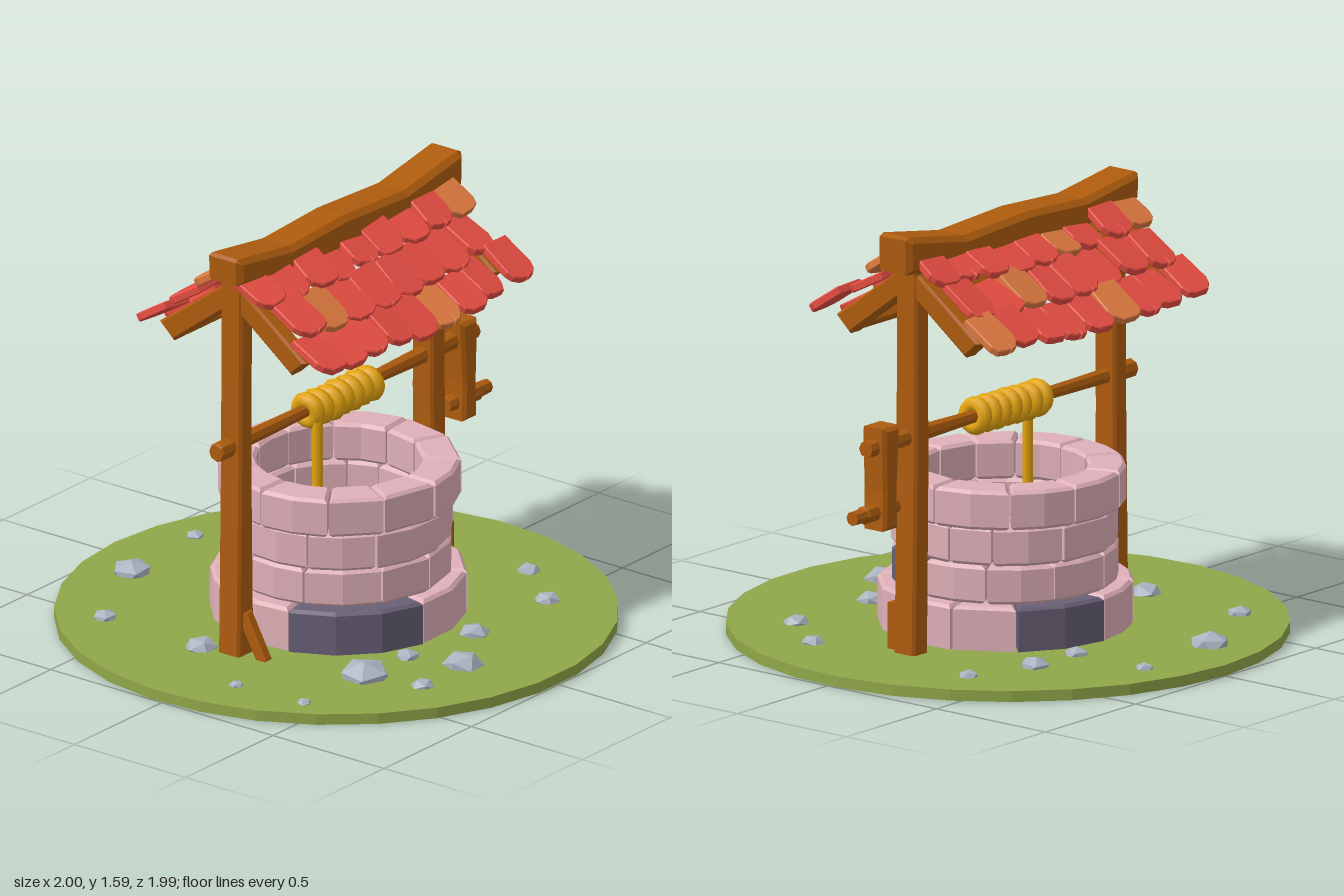
import * as THREE from 'three';

const mat = (name, color) => Object.assign(new THREE.MeshStandardMaterial({ color }), { name });
const GRASS = mat('grass', 0x90a749), WOOD = mat('wood', 0xae5c0e), ROPE = mat('rope', 0xe5a50f),
  STONE = mat('pink stone', 0xdfb0b8), DARK = mat('dark stone', 0x686076),
  PEBBLE = mat('grey rock', 0xabb3c1), RED = mat('red tile', 0xe84e43), ORANGE = mat('orange tile', 0xde7940);

const RAD = Math.PI / 180;
const AXIS_Z = -0.03; // plane of the posts, axle and ridge

let seed = 7;
const jitter = (a) => {
  seed = (seed * 16807) % 2147483647;
  return (seed / 2147483647 * 2 - 1) * a;
};

function add(parent, name, geometry, material, x = 0, y = 0, z = 0) {
  const m = new THREE.Mesh(geometry, material);
  m.name = name;
  m.position.set(x, y, z);
  parent.add(m);
  return m;
}

// Outline in XY extruded along z, centred on z = 0, with chamfered edges
function slab(points, depth, bevel = 0.01) {
  const shape = new THREE.Shape(points.map(([x, y]) => new THREE.Vector2(x, y)));
  const g = new THREE.ExtrudeGeometry(shape, {
    depth: depth - 2 * bevel, bevelEnabled: true, bevelSegments: 1,
    bevelSize: bevel, bevelThickness: bevel, bevelOffset: -bevel,
  });
  return g.translate(0, 0, bevel - depth / 2);
}

const rect = (w, h) => [[-w / 2, -h / 2], [w / 2, -h / 2], [w / 2, h / 2], [-w / 2, h / 2]];

function flat(geometry) {
  const g = geometry.toNonIndexed();
  g.computeVertexNormals();
  return g;
}

// Faceted rod along x from [x, radius] pairs
function rod(profile, sides = 8) {
  const first = profile[0], last = profile[profile.length - 1];
  const pts = [[first[0], 0], ...profile, [last[0], 0]].map(([x, r]) => new THREE.Vector2(r, x));
  return flat(new THREE.LatheGeometry(pts, sides).rotateZ(-Math.PI / 2));
}

// One curved block of the wall between two angles (degrees from +z towards +x)
function block(a0, a1, inner, outer, height) {
  const gap = 0.5, n = Math.max(1, Math.round((a1 - a0) / 22)), pts = [];
  const put = (r, t) => {
    const a = (a0 + gap + (a1 - a0 - 2 * gap) * t) * RAD;
    pts.push([r * Math.sin(a), -r * Math.cos(a)]);
  };
  for (let i = 0; i <= n; i++) put(outer, i / n);
  for (let i = n; i >= 0; i--) put(inner, i / n);
  return slab(pts, height, 0.012).rotateX(-Math.PI / 2);
}

function buildWall() {
  const wall = new THREE.Group();
  wall.name = 'stoneWall';
  wall.position.x = 0.015;
  const courses = [
    { y0: -0.001, y1: 0.2, r: 0.455, dark: [0, 5], joints: [-75, -11, 32, 82, 105, 135, 180, 215, 250] },
    { y0: 0.2, y1: 0.338, r: 0.405, dark: [3], joints: [-70, -30, 0, 50, 85, 120, 155, 190, 225, 257] },
    { y0: 0.338, y1: 0.477, r: 0.405, dark: [9], joints: [-68, -33, 8, 44, 72, 100, 123, 160, 192, 225, 257] },
    { y0: 0.477, y1: 0.62, r: 0.431, dark: [], joints: [-57, -30, 0, 35, 65, 94, 132, 165, 200, 235, 268] },
  ];
  for (const { y0, y1, r, dark, joints } of courses) {
    joints.forEach((a, i) => {
      const b = i + 1 < joints.length ? joints[i + 1] : joints[0] + 360;
      const g = block(a, b, 0.295 + jitter(0.004), r + jitter(0.005), y1 - y0);
      add(wall, 'wallStone', g, dark.includes(i) ? DARK : STONE, 0, (y0 + y1) / 2, 0);
    });
  }
  return wall;
}

function buildFrame() {
  const frame = new THREE.Group();
  frame.name = 'woodenFrame';
  frame.position.z = AXIS_Z;

  // Posts, slightly tapered
  add(frame, 'rightPost', slab([[-0.583, 0.03], [-0.49, 0.03], [-0.5, 0.7], [-0.497, 1.48], [-0.567, 1.48], [-0.573, 0.7]], 0.096), WOOD);
  add(frame, 'leftPost', slab([[0.533, 0.03], [0.616, 0.03], [0.606, 0.7], [0.602, 1.48], [0.528, 1.48], [0.525, 0.7]], 0.096), WOOD);

  // Small stakes at the post feet
  add(frame, 'leftStake', slab(rect(0.036, 0.18), 0.055, 0.006), WOOD, 0.567, 0.12, 0.075);
  add(frame, 'rightStake', slab(rect(0.042, 0.19), 0.045, 0.006), WOOD, -0.538, 0.115, 0.085).rotation.x = -0.5;

  // Sagging ridge beam
  add(frame, 'ridgeBeam', slab([
    [-0.61, 1.47], [-0.31, 1.425], [0.35, 1.42], [0.672, 1.447], [0.676, 1.575], [0.655, 1.584],
    [0.35, 1.53], [0, 1.547], [-0.31, 1.53], [-0.6, 1.57], [-0.613, 1.56]], 0.155, 0.02), WOOD);

  // Rafters and purlins on both slopes
  for (const side of [1, -1]) {
    const rafter = slab([[0.33, 1.225], [0.265, 1.165], [0, 1.365], [0, 1.465]], 0.07).rotateY(-Math.PI / 2);
    if (side < 0) rafter.rotateY(Math.PI);
    for (const x of [-0.528, 0.562]) add(frame, 'rafter', rafter, WOOD, x);
    const purlin = add(frame, 'purlin', slab(rect(1.06, 0.05), 0.05, 0.006), WOOD, 0.017, 1.21, side * 0.245);
    purlin.rotation.x = side * 0.67;
  }
  return frame;
}

// Roof tile with a rounded, sometimes cracked lower edge; y runs up the slope
function tile(width, length, cracked) {
  const w = width / 2, k = jitter(0.01);
  const pts = [[-w * 0.96, length], [-w * 1.04, 0.05 + k], [-w * 0.86, 0.022 + k], [-w * 0.45, 0.003]];
  if (cracked) pts.push([-0.005, 0], [0, 0.04], [0.005, 0]);
  pts.push([w * 0.45, 0.003], [w * 0.86, 0.022 - k], [w * 1.04, 0.05 - k], [w * 0.96, length]);
  return slab(pts, 0.03, 0.004);
}

function buildRoof() {
  const roof = new THREE.Group();
  roof.name = 'tiledRoof';
  // Per row: distance from ridge, height of the lower edge, first tile centre, spacing, tile count
  const rows = [[0.18, 1.418, -0.515, 0.134, 9], [0.31, 1.318, -0.47, 0.14, 8], [0.437, 1.222, -0.515, 0.134, 9]];
  const orange = { 1: [[8], [1], [5]], '-1': [[0, 3], [5], [3, 8]] };
  for (const side of [1, -1]) {
    const slope = new THREE.Group();
    slope.name = side > 0 ? 'frontSlope' : 'backSlope';
    slope.position.z = AXIS_Z;
    if (side < 0) slope.rotation.y = Math.PI;
    rows.forEach(([d, y, x0, step, count], row) => {
      for (let i = 0; i < count; i++) {
        const x = x0 + step * i;
        const sag = 0.042 * (1 - (x / 0.6) ** 2);
        const g = tile(step + jitter(0.006), 0.185, (i + row) % 3 === 1);
        const m = add(slope, 'roofTile', g, orange[side][row].includes(i) ? ORANGE : RED,
          side * x, y - sag + jitter(0.01), d + jitter(0.012));
        m.rotation.set(-(90 - 31) * RAD + jitter(0.08), jitter(0.12), jitter(0.07));
      }
    });
    roof.add(slope);
  }
  return roof;
}

function buildWinch() {
  const winch = new THREE.Group();
  winch.name = 'winch';
  winch.position.set(0, 0.832, AXIS_Z);
  add(winch, 'axle', rod([[-0.652, 0.03], [-0.645, 0.035], [-0.585, 0.036], [-0.575, 0.03], [-0.16, 0.024],
    [0.23, 0.024], [0.5, 0.031], [0.785, 0.034], [0.825, 0.03]]), WOOD);
  add(winch, 'crankArm', slab([[0.703, -0.303], [0.782, -0.303], [0.778, -0.16], [0.784, 0], [0.784, 0.072],
    [0.693, 0.072], [0.698, -0.03], [0.707, -0.16]], 0.106, 0.012), WOOD);
  add(winch, 'crankHandle', rod([[0.66, 0.026], [0.69, 0.03], [0.8, 0.034], [0.835, 0.034], [0.845, 0.028], [0.9, 0.026]]), WOOD, 0, -0.238, 0);

  // Rope loops wound around the axle, with one end dropping into the well
  for (let i = 0; i < 7; i++) {
    const loop = new THREE.TorusGeometry(0.041, 0.029, 8, 14).rotateY(Math.PI / 2);
    add(winch, 'ropeLoop', loop, ROPE, -0.126 + 0.0552 * i, -0.005 + jitter(0.003), 0.004 + jitter(0.006)).rotation.z = 0.12;
  }
  add(winch, 'hangingRope', new THREE.CylinderGeometry(0.019, 0.019, 0.5, 8), ROPE, -0.128, -0.25, 0.045);
  return winch;
}

function buildRocks() {
  const rocks = new THREE.Group();
  rocks.name = 'looseRocks';
  const spots = [ // x, z, radius
    [-0.18, -0.78, 0.077], [0.22, -0.81, 0.035], [-0.575, -0.59, 0.047], [0.225, -0.5, 0.047],
    [0.445, -0.49, 0.058], [0.7, -0.4, 0.039], [-0.585, -0.15, 0.062], [-0.79, 0.17, 0.029],
    [-0.77, 0.46, 0.027], [-0.435, 0.47, 0.096], [-0.205, 0.48, 0.047], [0.115, 0.53, 0.058],
    [0.52, 0.54, 0.05], [0.695, 0.32, 0.044], [-0.385, 0.69, 0.044], [-0.14, 0.68, 0.077]];
  for (const [x, z, r] of spots) {
    const g = new THREE.IcosahedronGeometry(r, 0).rotateX(jitter(3)).rotateY(jitter(3)).scale(1, 0.64, 1);
    const p = g.attributes.position;
    for (let i = 0; i < p.count; i++) p.setY(i, Math.max(p.getY(i), -0.035)); // flat base in the grass
    g.computeVertexNormals();
    add(rocks, 'rock', g, PEBBLE, x, 0.04, z);
  }
  return rocks;
}

export function createModel() {
  const model = new THREE.Group();
  model.name = 'well';
  add(model, 'grassDisc', flat(new THREE.CylinderGeometry(1, 1, 0.04, 29).rotateY(Math.PI)), GRASS, 0, 0.02, 0);
  model.add(buildWall(), buildFrame(), buildRoof(), buildWinch(), buildRocks());
  return model;
}
